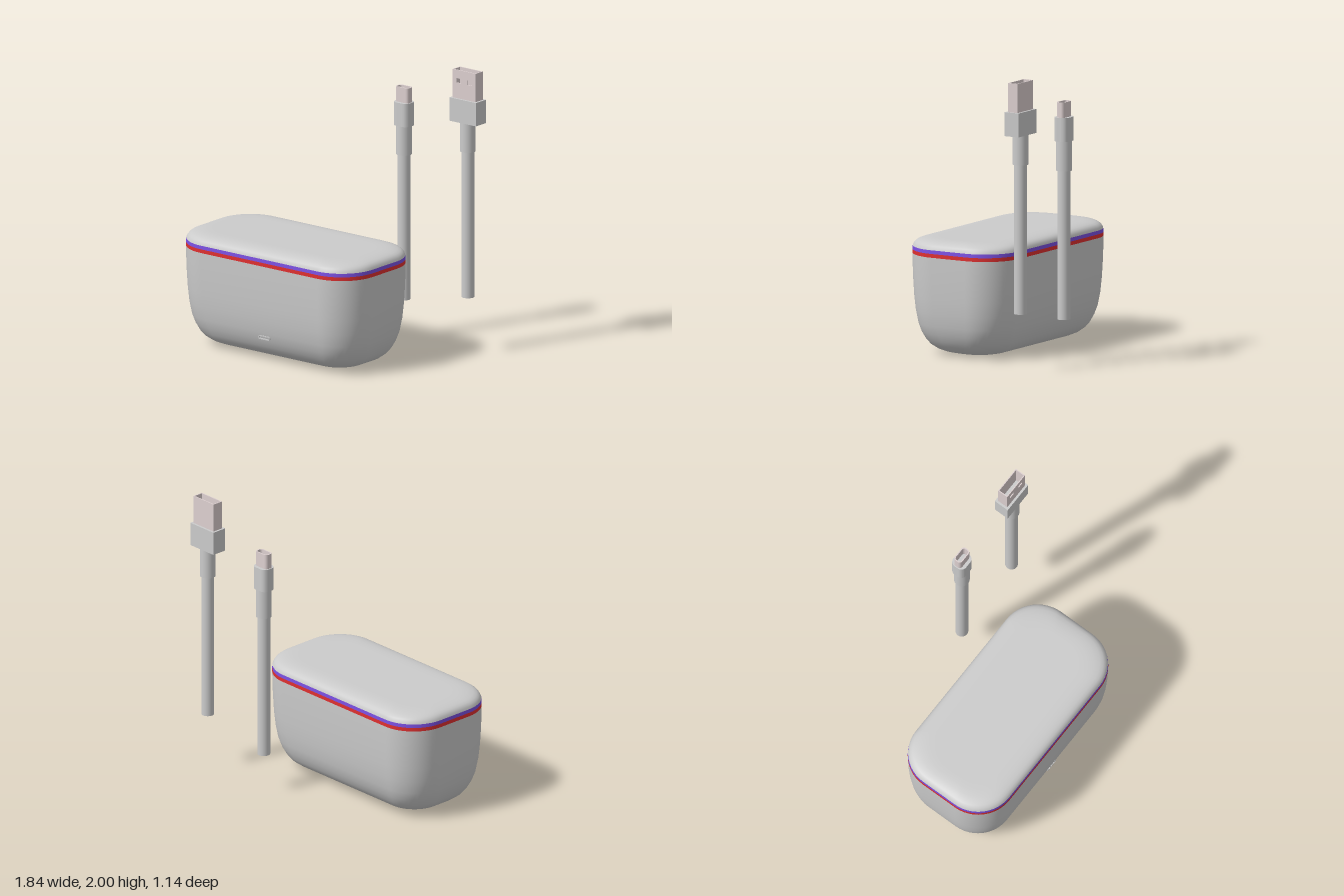
import * as THREE from 'three';

const grey = new THREE.MeshStandardMaterial({ color: 0xcccccc, side: THREE.DoubleSide });
const red = new THREE.MeshStandardMaterial({ color: 0xe03030, side: THREE.DoubleSide });
const purple = new THREE.MeshStandardMaterial({ color: 0x7a4fe0, side: THREE.DoubleSide });
const metal = new THREE.MeshStandardMaterial({ color: 0xddd0d0, side: THREE.DoubleSide });

function add(parent, name, geometry, material, x = 0, y = 0, z = 0) {
  const mesh = new THREE.Mesh(geometry, material);
  mesh.name = name;
  mesh.position.set(x, y, z);
  parent.add(mesh);
  return mesh;
}

// Rounded rectangle outline, half sizes w and h
function roundedRect(w, h, r, Type = THREE.Shape) {
  const s = new Type();
  s.absarc(w - r, h - r, r, 0, Math.PI / 2);
  s.absarc(-w + r, h - r, r, Math.PI / 2, Math.PI);
  s.absarc(-w + r, -h + r, r, Math.PI, Math.PI * 1.5);
  s.absarc(w - r, -h + r, r, Math.PI * 1.5, Math.PI * 2);
  s.closePath();
  return s;
}

// Skin stacked rounded rectangles; each section is [height, inset]
function loft(sections, capBottom, capTop) {
  const halfX = 0.775, halfZ = 0.4, steps = 12, count = 4 * (steps + 1);
  const pos = [], index = [];
  for (const [y, inset] of sections) {
    const r = 0.265 - inset * 0.5;
    for (let c = 0; c < 4; c++) {
      const sx = c === 0 || c === 3 ? 1 : -1, sz = c < 2 ? 1 : -1;
      for (let i = 0; i <= steps; i++) {
        const a = (c + i / steps) * Math.PI / 2;
        pos.push(sx * (halfX - inset - r) + r * Math.cos(a), y, sz * (halfZ - inset - r) + r * Math.sin(a));
      }
    }
  }
  for (let j = 0; j < sections.length - 1; j++) {
    for (let i = 0; i < count; i++) {
      const a = j * count + i, b = j * count + (i + 1) % count;
      index.push(a, a + count, b, b, a + count, b + count);
    }
  }
  const cap = (ring, up) => {
    const centre = pos.length / 3;
    pos.push(0, sections[ring][0], 0);
    for (let i = 0; i < count; i++) {
      const a = ring * count + i, b = ring * count + (i + 1) % count;
      index.push(centre, up ? b : a, up ? a : b);
    }
  };
  if (capBottom) cap(0, false);
  if (capTop) cap(sections.length - 1, true);
  const g = new THREE.BufferGeometry();
  g.setAttribute('position', new THREE.Float32BufferAttribute(pos, 3));
  g.setIndex(index);
  g.computeVertexNormals();
  return g;
}

// Upright prism from a plan outline, base at y = 0
function upright(shape, height) {
  return new THREE.ExtrudeGeometry(shape, { depth: height, bevelEnabled: false, curveSegments: 8 }).rotateX(-Math.PI / 2);
}

function cylinder(parent, name, radius, y0, y1) {
  add(parent, name, new THREE.CylinderGeometry(radius, radius, y1 - y0, 32), grey, 0, (y0 + y1) / 2, 0);
}

function createCase() {
  const g = new THREE.Group();
  g.name = 'case';
  g.position.set(-0.145, 0, 0.17);
  add(g, 'caseBody', loft([
    [0, 0.27], [0.005, 0.23], [0.016, 0.185], [0.036, 0.14], [0.065, 0.103], [0.1, 0.077], [0.15, 0.053],
    [0.21, 0.034], [0.3, 0.019], [0.4, 0.01], [0.52, 0.004], [0.62, 0.001], [0.69, 0]
  ], true, false), grey);
  add(g, 'redStripe', loft([[0.69, 0], [0.716, 0]]), red);
  add(g, 'purpleStripe', loft([[0.716, 0], [0.741, 0.002]]), purple);
  add(g, 'caseLid', loft([
    [0.741, 0.002], [0.755, 0.007], [0.768, 0.015], [0.779, 0.028], [0.788, 0.048],
    [0.795, 0.08], [0.799, 0.12], [0.8, 0.17]
  ], false, true), grey);

  // Charging port rim, low on the front
  const rim = roundedRect(0.05, 0.014, 0.0135);
  rim.holes.push(roundedRect(0.042, 0.007, 0.0068, THREE.Path));
  add(g, 'chargingPort', new THREE.ExtrudeGeometry(rim, { depth: 0.03, bevelEnabled: false, curveSegments: 8 }),
    grey, 0.015, 0.175, 0.333);
  return g;
}

function createSmallCable() {
  const g = new THREE.Group();
  g.name = 'smallPlugCable';
  g.position.set(0.243, 0, -0.52);
  cylinder(g, 'cable', 0.044, 0.285, 1.32);
  cylinder(g, 'strainRelief', 0.054, 1.31, 1.52);
  add(g, 'plugHousing', upright(roundedRect(0.064, 0.054, 0.04), 0.165), grey, 0, 1.515, 0);
  const shell = roundedRect(0.057, 0.031, 0.022);
  shell.holes.push(roundedRect(0.049, 0.023, 0.016, THREE.Path));
  add(g, 'plugShell', upright(shell, 0.105), metal, 0, 1.68, 0);
  return g;
}

function createWideCable() {
  const g = new THREE.Group();
  g.name = 'widePlugCable';
  g.position.set(0.8, 0, -0.52);
  cylinder(g, 'cable', 0.044, 0.4, 1.44);
  cylinder(g, 'strainRelief', 0.054, 1.43, 1.64);
  add(g, 'plugHousing', new THREE.BoxGeometry(0.23, 0.165, 0.11), grey, 0, 1.7175, 0);

  // Hollow metal shell with two latch windows in its front wall
  const t = 0.007, w = 0.1, d = 0.039, h = 0.2;
  const front = new THREE.Shape([[-w, 0], [w, 0], [w, h], [-w, h]].map(p => new THREE.Vector2(...p)));
  for (const x of [-0.048, 0.048]) {
    front.holes.push(new THREE.Path([[-1, -1], [-1, 1], [1, 1], [1, -1]]
      .map(p => new THREE.Vector2(x + p[0] * 0.02, 0.125 + p[1] * 0.016))));
  }
  add(g, 'plugFrontWall', new THREE.ExtrudeGeometry(front, { depth: t, bevelEnabled: false }), metal, 0, 1.8, d - t);
  add(g, 'plugBackWall', new THREE.BoxGeometry(2 * w, h, t), metal, 0, 1.9, -d + t / 2);
  for (const s of [-1, 1]) {
    add(g, 'plugSideWall', new THREE.BoxGeometry(t, h, 2 * (d - t)), metal, s * (w - t / 2), 1.9, 0);
  }
  return g;
}

export function createModel() {
  const model = new THREE.Group();
  model.name = 'chargingCaseWithCables';
  model.add(createCase(), createSmallCable(), createWideCable());
  return model;
}
